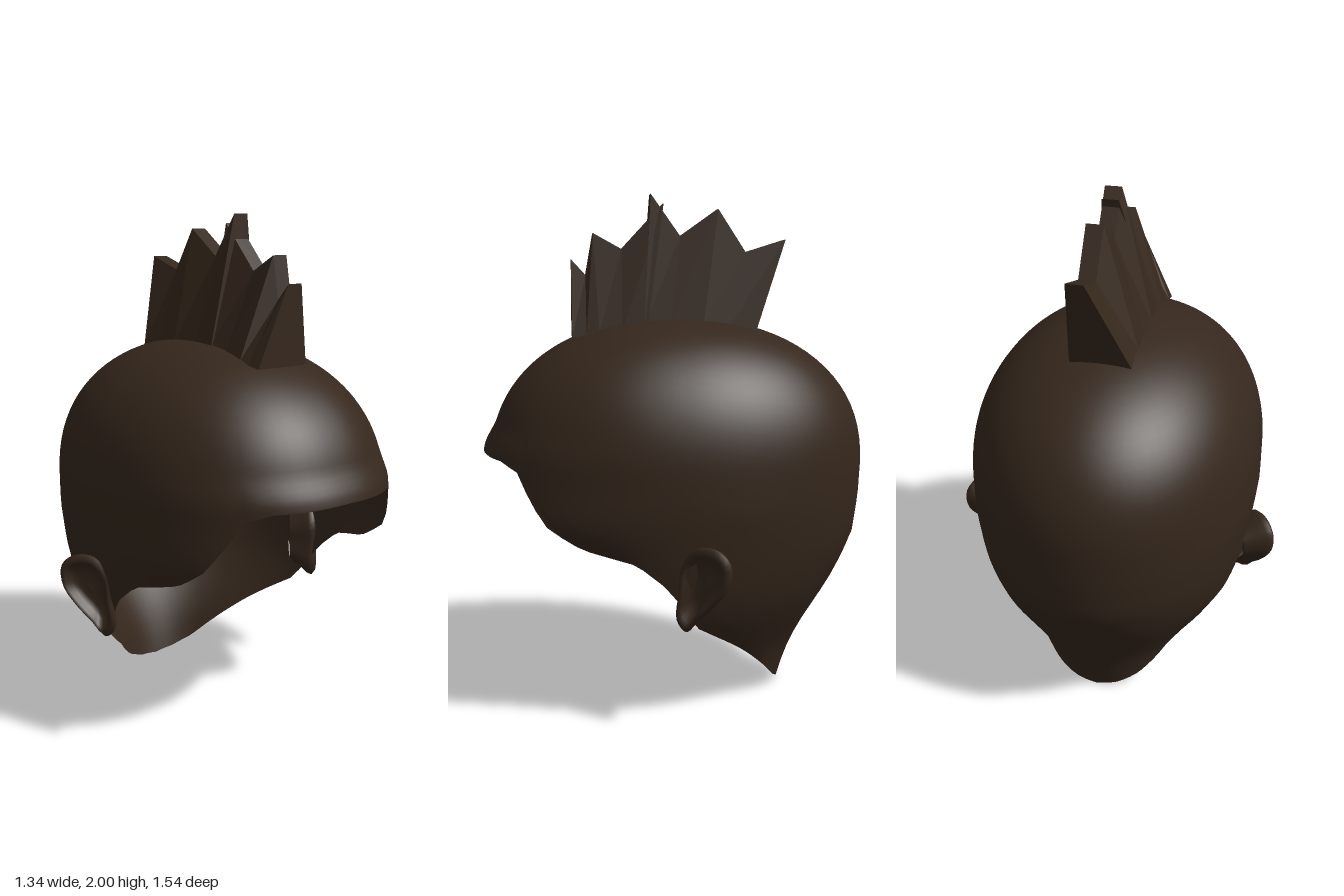
import * as THREE from 'three';

const skin = new THREE.MeshStandardMaterial({ color: 0x35271c, side: THREE.DoubleSide });
const crisp = skin.clone();
crisp.flatShading = true;

// Piecewise-linear lookup in [key, value] pairs with rising keys
function lookup(table, k) {
  if (k <= table[0][0]) return table[0][1];
  for (let i = 1; i < table.length; i++) {
    const [k0, v0] = table[i - 1], [k1, v1] = table[i];
    if (k <= k1) return v0 + (v1 - v0) * (k - k0) / (k1 - k0);
  }
  return table[table.length - 1][1];
}

// Surface through rings of points (each ring closed)
function loft(rings, name, material) {
  const n = rings[0].length, index = [];
  for (let r = 0; r < rings.length - 1; r++) {
    for (let i = 0; i < n; i++) {
      const a = r * n + i, b = r * n + (i + 1) % n;
      index.push(a, a + n, b + n, a, b + n, b);
    }
  }
  const g = new THREE.BufferGeometry();
  g.setAttribute('position', new THREE.Float32BufferAttribute(rings.flat(2), 3));
  g.setIndex(index);
  g.computeVertexNormals();
  const mesh = new THREE.Mesh(g, material);
  mesh.name = name;
  return mesh;
}

// Head shell: half width, front depth and back depth below the dome, by height
const WIDTH = [[0, .33], [.17, .346], [.25, .396], [.34, .457], [.45, .515], [.57, .545], [.7, .563], [.83, .577], [.95, .575]];
const FRONT = [[.45, .5], [.65, .56], [.77, .78], [.95, .745]];
const BACK = [[0, .43], [.1, .46], [.2, .5], [.3, .55], [.4, .61], [.5, .67], [.65, .74], [.8, .76], [.95, .767]];
// Height of the open lower rim, by degrees around from the front
const RIM = [[0, 1.01], [23, 1], [30, .97], [35, .88], [42, .77], [50, .7], [69, .65], [79, .57], [88, .46],
  [92, .39], [102, .34], [121, .25], [137, .17], [156, .06], [168, .02], [180, .005]];
const TOP = 1.525;

function shellPoint(angle, y) {
  const t = Math.min(1, Math.max(0, (y - .95) / (TOP - .95)));
  const dome = Math.pow(1 - Math.pow(t, 2.2), 1 / 2.2) + 1e-4;
  const s = Math.sin(angle), c = Math.cos(angle);
  const flare = .03 * THREE.MathUtils.smoothstep(1.13 - y, 0, .12);
  const w = lookup(WIDTH, y) * dome;
  const d = c > 0 ? lookup(FRONT, y) * dome + flare : lookup(BACK, y) * dome;
  const p = c > 0 ? 2.2 : 2;
  const r = Math.pow(Math.pow(Math.abs(s) / w, p) + Math.pow(Math.abs(c) / d, p), -1 / p);
  return [r * s, y, r * c];
}

function makeShell() {
  const rings = [], rows = 36, cols = 96;
  for (let j = 0; j <= rows; j++) {
    const drop = 1 - Math.cos(j / rows * Math.PI / 2);
    const ring = [];
    for (let i = 0; i < cols; i++) {
      const angle = i / cols * Math.PI * 2;
      const deg = Math.min(i, cols - i) / cols * 360;
      ring.push(shellPoint(angle, TOP - (TOP - lookup(RIM, deg)) * drop));
    }
    rings.push(ring);
  }
  return loft(rings, 'headShell', skin);
}

// Ear: outline in a plane angled back from the head, dished in front, tapering in behind
function makeEar() {
  const pts = [[0, .44], [.04, .4], [.09, .45], [.16, .52], [.215, .6], [.215, .68], [.16, .725], [.08, .72], [.02, .65], [.01, .55]];
  const outline = new THREE.CatmullRomCurve3(pts.map(([s, y]) => new THREE.Vector3(s, y, 0)), true).getPoints(36).slice(0, 36);
  // scale about the middle, offset along the plane's normal
  const steps = [[.01, -.025], [.4, -.03], [.66, -.02], [.78, .008], [.9, .016], [1, 0], [.96, -.02], [.8, -.05], [.6, -.1]];
  const rings = steps.map(([k, n]) => outline.map((p) => {
    const s = .11 + (p.x - .11) * k, y = .58 + (p.y - .58) * k;
    return [.53 + .6 * s + .8 * n, y, .06 - .8 * s + .6 * n];
  }));
  return loft(rings, 'leftEar', skin);
}

// Crest piece: columns of [base z, base y, tip z, tip y], wide at the base and thin on top
function makeCrest(columns, name) {
  const rings = columns.map(([bz, by, tz, ty]) => [
    [-.12, by, bz], [.115, by, bz], [.085, ty, tz], [.02, ty, tz]]);
  const middle = (ring) => {
    const m = [0, 1, 2].map((k) => ring.reduce((sum, p) => sum + p[k], 0) / 4);
    return ring.map(() => m);
  };
  return loft([middle(rings[0]), ...rings, middle(rings[rings.length - 1])], name, crisp);
}

export function createModel() {
  const model = new THREE.Group();
  model.name = 'crestedHead';
  model.add(makeShell());

  const ear = makeEar();
  const other = ear.clone();
  other.name = 'rightEar';
  other.scale.x = -1;
  model.add(ear, other);

  model.add(makeCrest([
    [.415, 1.45, .415, 1.75], [.36, 1.46, .36, 1.69], [.31, 1.47, .33, 1.85],
    [.22, 1.48, .22, 1.79], [.12, 1.49, .055, 1.965]], 'frontCrest'));
  model.add(makeCrest([
    [.135, 1.49, .105, 2], [.03, 1.5, -.01, 1.84], [-.1, 1.5, -.16, 1.945],
    [-.2, 1.49, -.27, 1.78], [-.31, 1.47, -.43, 1.83]], 'backCrest'));
  return model;
}
